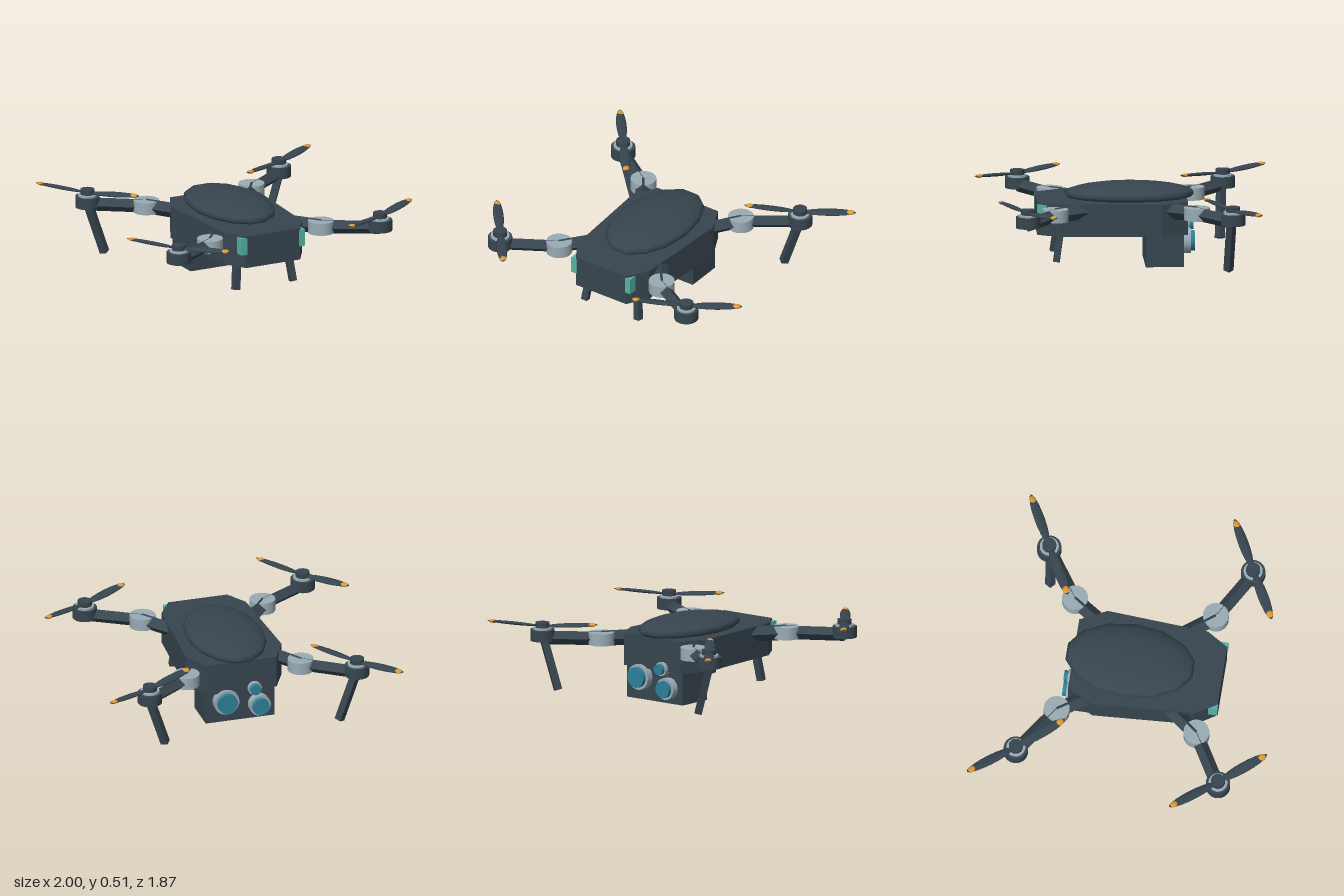
import * as THREE from 'three';

const mat = (name, color) => {
  const m = new THREE.MeshStandardMaterial({ color });
  m.name = name;
  return m;
};

export function createModel() {
  const dark = mat('darkShell', 0x37454f);
  const silver = mat('silverMetal', 0x9aabb5);
  const glass = mat('blueGlass', 0x2e8098);
  const mint = mat('mintLight', 0x55b3a4);
  const amber = mat('amberTip', 0xdd9838);

  const model = new THREE.Group();
  model.name = 'quadcopter';
  const drone = new THREE.Group();
  drone.name = 'airframe';
  drone.position.x = -0.05; // the props make the outline slightly lopsided
  model.add(drone);

  const add = (parent, name, geometry, material, x = 0, y = 0, z = 0) => {
    const mesh = new THREE.Mesh(geometry, material);
    mesh.name = name;
    mesh.position.set(x, y, z);
    parent.add(mesh);
    return mesh;
  };

  // Upright disc between two heights
  const disc = (parent, name, r, y0, y1, material, x, z) =>
    add(parent, name, new THREE.CylinderGeometry(r, r, y1 - y0, 24), material, x, (y0 + y1) / 2, z);

  // Four-sided bar with a ridge on top, running from a to b
  const bar = (name, a, b, r, material) => {
    const from = new THREE.Vector3(...a), to = new THREE.Vector3(...b);
    const dir = to.clone().sub(from);
    const g = new THREE.CylinderGeometry(r, r, dir.length(), 4).toNonIndexed();
    g.computeVertexNormals();
    dir.normalize();
    const side = dir.clone().cross(new THREE.Vector3(0, 1, 0)).normalize();
    const up = side.clone().cross(dir);
    g.applyMatrix4(new THREE.Matrix4().makeBasis(side, dir, up));
    const mid = from.add(to).multiplyScalar(0.5);
    return add(drone, name, g, material, mid.x, mid.y, mid.z);
  };

  // Main body: tapered octagon seen from above
  const half = [[0.235, -0.395], [0.32, -0.225], [0.28, 0.43], [0.195, 0.565]];
  const outline = [...half, ...half.map(([x, z]) => [-x, z]).reverse()];
  const bodyGeo = new THREE.ExtrudeGeometry(
    new THREE.Shape(outline.map(([x, z]) => new THREE.Vector2(x, z))),
    { depth: 0.21, bevelEnabled: false });
  bodyGeo.rotateX(Math.PI / 2);
  add(drone, 'body', bodyGeo, dark, 0, 0.42, 0);

  // Rounded canopy on the roof
  add(drone, 'canopy', new THREE.SphereGeometry(1, 14, 10), dark, 0, 0.445, -0.03).scale.set(0.25, 0.069, 0.42);

  // Camera housing under the tail
  add(drone, 'cameraHousing', new THREE.BoxGeometry(0.46, 0.22, 0.245), dark, 0, 0.11, -0.2475);

  // Camera lenses: x, y, rim radius, glass radius
  const lenses = [[0.102, 0.15, 0.083, 0.066], [-0.12, 0.1, 0.07, 0.055], [-0.085, 0.225, 0.045, 0.035]];
  for (const [x, y, rim, r] of lenses) {
    const lens = new THREE.Group();
    lens.name = 'lens';
    lens.position.set(x, y, 0);
    drone.add(lens);
    add(lens, 'lensRim', new THREE.CylinderGeometry(rim, rim, 0.05, 24).rotateX(Math.PI / 2), silver, 0, 0, -0.392);
    add(lens, 'lensGlass', new THREE.CylinderGeometry(r, r, 0.035, 24).rotateX(Math.PI / 2), glass, 0, 0, -0.425);
  }

  // Two-bladed propeller, blades lifting towards the tips
  const propeller = (x, z, angle) => {
    const prop = new THREE.Group();
    prop.name = 'propeller';
    prop.position.set(x, 0.445, z);
    drone.add(prop);
    for (const turn of [0, Math.PI]) {
      const blade = new THREE.Group();
      blade.name = 'blade';
      blade.rotation.set(0.15, angle + turn, 0.06, 'YZX');
      prop.add(blade);
      // Sphere with its poles along the blade for pointed ends
      const spindle = new THREE.SphereGeometry(1, 12, 10).rotateZ(Math.PI / 2);
      add(blade, 'bladePanel', spindle, dark, 0.19).scale.set(0.17, 0.011, 0.034);
      add(blade, 'bladeTip', spindle, amber, 0.322).scale.set(0.028, 0.012, 0.022);
    }
  };

  for (const s of [1, -1]) {
    // Front lights
    add(drone, 'frontLight', new THREE.BoxGeometry(0.042, 0.11, 0.06), mint, s * 0.209, 0.353, 0.537);

    // Landing legs
    bar('frontLeg', [s * 0.182, 0.24, 0.415], [s * 0.206, 0.035, 0.445], 0.03, dark);
    bar('backLeg', [s * 0.69, 0.37, -0.65], [s * 0.58, 0.04, -0.636], 0.033, dark);

    // Folding arms: root, hinge and motor positions in x, z
    const arms = [
      { name: 'frontArm', root: [0.21, 0.21], hinge: [0.4, 0.46], motor: [0.726, 0.65] },
      { name: 'backArm', root: [0.21, -0.19], hinge: [0.38, -0.445], motor: [0.69, -0.66] },
    ];
    for (const { name, root, hinge, motor } of arms) {
      const at = ([x, z]) => [s * x, 0.37, z];
      bar(name + 'Inner', at(root), at(hinge), 0.05, dark);
      bar(name + 'Outer', at(hinge), at(motor), 0.044, dark);
      disc(drone, 'hinge', 0.083, 0.333, 0.412, silver, s * hinge[0], hinge[1]);

      // Motor with a silver collar and dark hub
      const x = s * motor[0], z = motor[1];
      disc(drone, 'motor', 0.078, 0.352, 0.424, dark, x, z);
      disc(drone, 'motorCollar', 0.061, 0.42, 0.437, silver, x, z);
      disc(drone, 'motorHub', 0.045, 0.43, 0.47, dark, x, z);
      propeller(x, z, s > 0 ? 0.49 : -0.9);
    }
  }
  return model;
}
